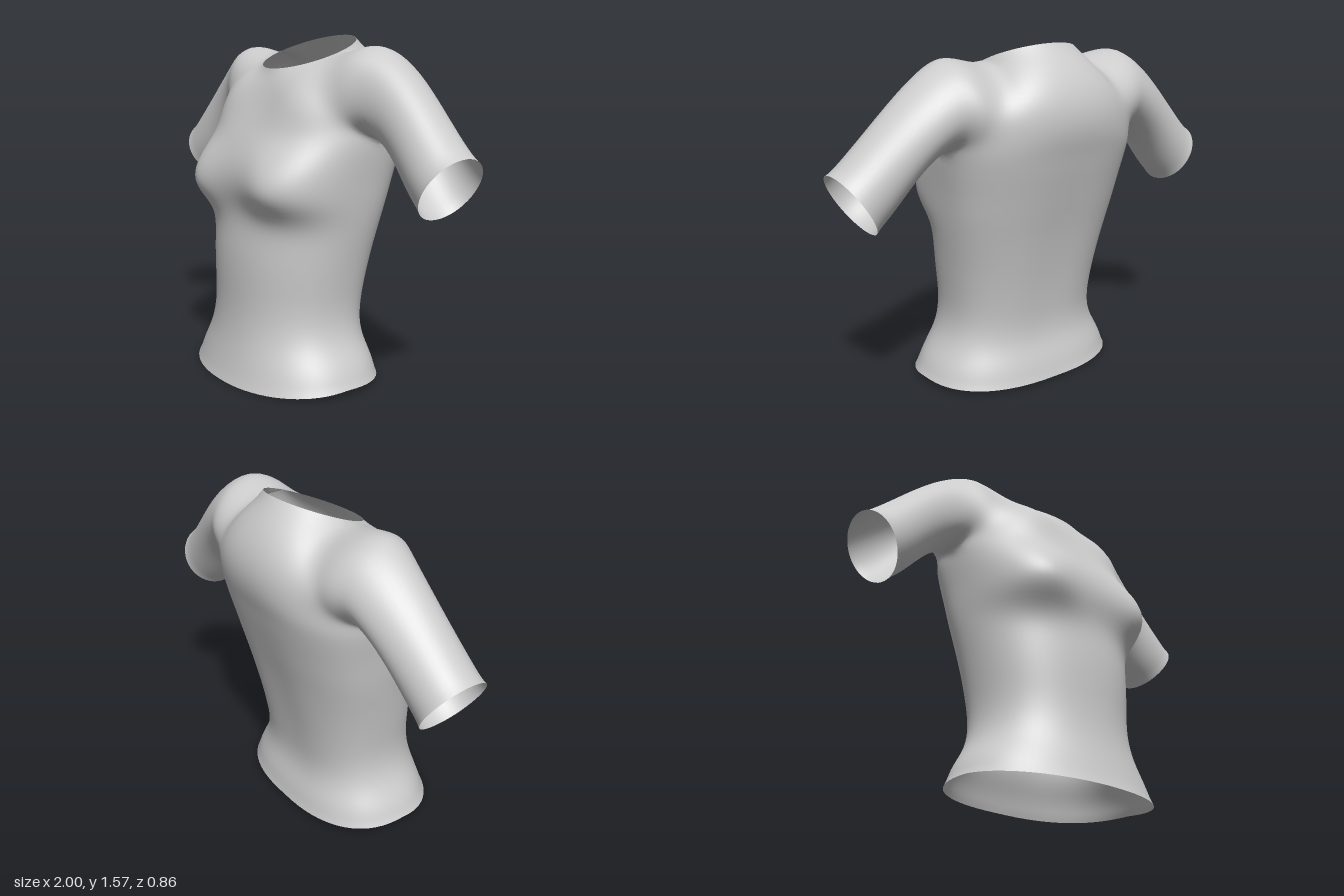
import * as THREE from 'three';

const V = (x, y, z) => new THREE.Vector3(x, y, z);
const COLS = 36, ROWS = 48, YOKE = 20, SLEEVE = 26;
const SEAM = 6 / COLS; // share of the top edge taken by one shoulder

// Torso profile from hem to armpit: [y, half width, z of the side, z front, z back]
const profile = [
  [0.02, 0.503, 0.08, 0.43, -0.28], [0.1, 0.475, 0.07, 0.405, -0.264], [0.19, 0.418, 0.06, 0.382, -0.235],
  [0.28, 0.39, 0.05, 0.368, -0.229], [0.38, 0.387, 0.04, 0.362, -0.241], [0.5, 0.402, 0.03, 0.362, -0.262],
  [0.62, 0.42, 0.01, 0.357, -0.287], [0.74, 0.44, -0.02, 0.344, -0.314], [0.84, 0.455, -0.045, 0.345, -0.34],
  [0.94, 0.467, -0.065, 0.35, -0.366], [1.03, 0.48, -0.085, 0.337, -0.39], [1.12, 0.492, -0.1, 0.3, -0.412],
];
const curve = (pts) => new THREE.CatmullRomCurve3(pts, false, 'catmullrom', 0.5);
const sideCurve = curve(profile.map(([y, a, zc]) => V(a, y, zc)));
const depthCurve = curve(profile.map(([y, , , f, b]) => V(f, y, b)));

// Half of a torso ring: dir 1 is the front (+x to -x), dir -1 the back (-x to +x)
function ringPoint(dir, u, v) {
  const side = sideCurve.getPoint(v), depth = depthCurve.getPoint(v);
  const c = Math.cos(Math.PI * u), s = Math.max(0, Math.sin(Math.PI * u));
  let y = side.y;
  const bust = Math.exp(-(((y - 0.885) / (y < 0.885 ? 0.09 : 0.19)) ** 2));
  const e = 2 / (dir > 0 ? 2.15 + 0.95 * bust : 2.5);
  const x = dir * Math.sign(c) * side.x * Math.abs(c) ** e;
  let z = side.z + ((dir > 0 ? depth.x : depth.z) - side.z) * s ** e;
  if (dir > 0) { // bust, fading to nothing at the side seam
    z += 0.078 * bust * Math.min(1, 2 * s) * Math.exp(-(((Math.abs(x) - 0.3) / 0.17) ** 2));
  } else { // spine hollow
    z += 0.018 * Math.exp(-((x / 0.07) ** 2) - (((y - 0.65) / 0.35) ** 2));
  }
  y += (1 - v) ** 10 * (0.01 - s * (dir > 0 ? 0.028 : 0.012));
  return V(x, y, z);
}

// Armhole edges of the left side, armpit to shoulder
const armEdge = {
  1: curve([V(0.492, 1.12, -0.1), V(0.477, 1.2, 0.045), V(0.457, 1.33, 0.09),
    V(0.45, 1.475, 0.045), V(0.46, 1.537, -0.09)]).getSpacedPoints(YOKE),
  [-1]: curve([V(0.492, 1.12, -0.1), V(0.485, 1.2, -0.255), V(0.472, 1.33, -0.32),
    V(0.458, 1.475, -0.24), V(0.46, 1.537, -0.09)]).getSpacedPoints(YOKE),
};
const mirrored = (p, s) => V(p.x * s, p.y, p.z);

function neckPoint(dir, phi) {
  const z = -0.065 + dir * 0.205 * Math.sin(phi);
  return V(0.02 + dir * 0.235 * Math.cos(phi), 1.417 + (0.14 - z) * 0.375, z);
}

// Top edge of a panel: shoulder, neckline, shoulder
function topPoint(dir, u) {
  const tip = armEdge[dir][YOKE];
  if (u < SEAM) return mirrored(tip, dir).lerp(neckPoint(dir, 0), u / SEAM);
  if (u > 1 - SEAM) return mirrored(tip, -dir).lerp(neckPoint(dir, Math.PI), (1 - u) / SEAM);
  return neckPoint(dir, Math.PI * (u - SEAM) / (1 - 2 * SEAM));
}

// The top edge, rounded off further down so its corners do not run into the panel
function softTop(dir, u, v) {
  const reach = Math.min(0.16, u, 1 - u) * (1 - v), sum = V(0, 0, 0);
  for (let k = -4; k <= 4; k++) sum.add(topPoint(dir, u + reach * k / 4));
  return sum.divideScalar(9);
}

// Panel above the armpits, stretched between chest, armholes and neckline
function yokePoint(dir, i, j) {
  const u = i / COLS, v = j / YOKE, edge = armEdge[dir];
  const p = ringPoint(dir, u, 1).lerp(softTop(dir, u, v), v);
  const pull = edge[j].clone().sub(edge[0].clone().lerp(edge[YOKE], v));
  const s = u < 0.5 ? dir : -dir;
  p.addScaledVector(mirrored(pull, s), Math.abs(1 - 2 * u) ** (1.5 + 2.5 * (1 - v) ** 2));
  const arch = Math.max(0, Math.sin(Math.PI * v)), across = Math.max(0, Math.sin(Math.PI * u));
  if (dir > 0) p.z += 0.045 * arch * Math.sin(2 * Math.PI * u) ** 2;
  else p.z -= 0.09 * arch ** 0.9 * across ** 0.5;
  return p;
}

// Sleeve: armhole loop swept to the slanted cuff
function sleevePoint(s, i, j) {
  const t = j / SLEEVE, n = 2 * YOKE;
  const front = i <= YOKE;
  const a = front ? armEdge[1][i] : armEdge[-1][n - i];
  const ang = 2 * Math.PI * i / n, c = Math.cos(ang);
  const b = V(0.92 - 0.081 * c, 0.96 - 0.131 * c, -0.09 + 0.155 * Math.sin(ang));
  const ta = V(0.5, -0.13 - 0.05 * c, -(a.z + 0.1) * (front ? 1.6 : 0.4)), tb = V(0.42, -0.32, 0);
  const t2 = t * t, t3 = t2 * t;
  const p = a.clone().multiplyScalar(2 * t3 - 3 * t2 + 1)
    .addScaledVector(ta, t3 - 2 * t2 + t)
    .addScaledVector(b, 3 * t2 - 2 * t3)
    .addScaledVector(tb, t3 - t2);
  return mirrored(p, s);
}

export function createModel() {
  const points = [], lookup = new Map();
  const parts = { body: [], leftSleeve: [], rightSleeve: [] };

  // Shared vertices keep the seams smooth
  const vertex = (p) => {
    const key = [p.x, p.y, p.z].map((n) => Math.round(n * 1e4 + 0.013) + 0).join();
    if (!lookup.has(key)) { lookup.set(key, points.length); points.push(p); }
    return lookup.get(key);
  };
  const addGrid = (name, nu, nv, fn, flip) => {
    const id = [];
    for (let j = 0; j <= nv; j++) for (let i = 0; i <= nu; i++) id.push(vertex(fn(i, j)));
    const tri = (a, b, c) => {
      if (a !== b && b !== c && a !== c) parts[name].push(...(flip ? [a, b, c] : [a, c, b]));
    };
    for (let j = 0; j < nv; j++) for (let i = 0; i < nu; i++) {
      const a = j * (nu + 1) + i, d = a + nu + 1;
      tri(id[a], id[a + 1], id[d + 1]);
      tri(id[a], id[d + 1], id[d]);
    }
  };

  for (const dir of [1, -1]) {
    addGrid('body', COLS, ROWS, (i, j) => ringPoint(dir, i / COLS, j / ROWS));
    addGrid('body', COLS, YOKE, (i, j) => yokePoint(dir, i, j));
  }
  addGrid('leftSleeve', 2 * YOKE, SLEEVE, (i, j) => sleevePoint(1, i, j));
  addGrid('rightSleeve', 2 * YOKE, SLEEVE, (i, j) => sleevePoint(-1, i, j), true);

  // Relax the cloth, holding the open edges in place
  const all = Object.values(parts).flat();
  const near = points.map(() => new Map());
  for (let k = 0; k < all.length; k += 3) for (let e = 0; e < 3; e++) {
    const a = all[k + e], b = all[k + (e + 1) % 3];
    near[a].set(b, (near[a].get(b) || 0) + 1);
    near[b].set(a, (near[b].get(a) || 0) + 1);
  }
  const fixed = near.map((m) => [...m.values()].some((n) => n === 1));
  for (let pass = 0; pass < 8; pass++) {
    const old = points.map((p) => p.clone());
    points.forEach((p, k) => {
      if (fixed[k]) return;
      const mean = V(0, 0, 0);
      for (const m of near[k].keys()) mean.add(old[m]);
      p.lerp(mean.divideScalar(near[k].size), 0.5);
    });
  }

  const whole = new THREE.BufferGeometry().setFromPoints(points);
  whole.setIndex(all);
  whole.computeVertexNormals();

  const material = new THREE.MeshStandardMaterial({ color: 0xcccccc, side: THREE.DoubleSide });
  const group = new THREE.Group();
  group.name = 'shirt';
  for (const [name, index] of Object.entries(parts)) {
    const geometry = new THREE.BufferGeometry();
    geometry.setAttribute('position', whole.getAttribute('position'));
    geometry.setAttribute('normal', whole.getAttribute('normal'));
    geometry.setIndex(index);
    const mesh = new THREE.Mesh(geometry, material);
    mesh.name = name;
    group.add(mesh);
  }
  return group;
}
